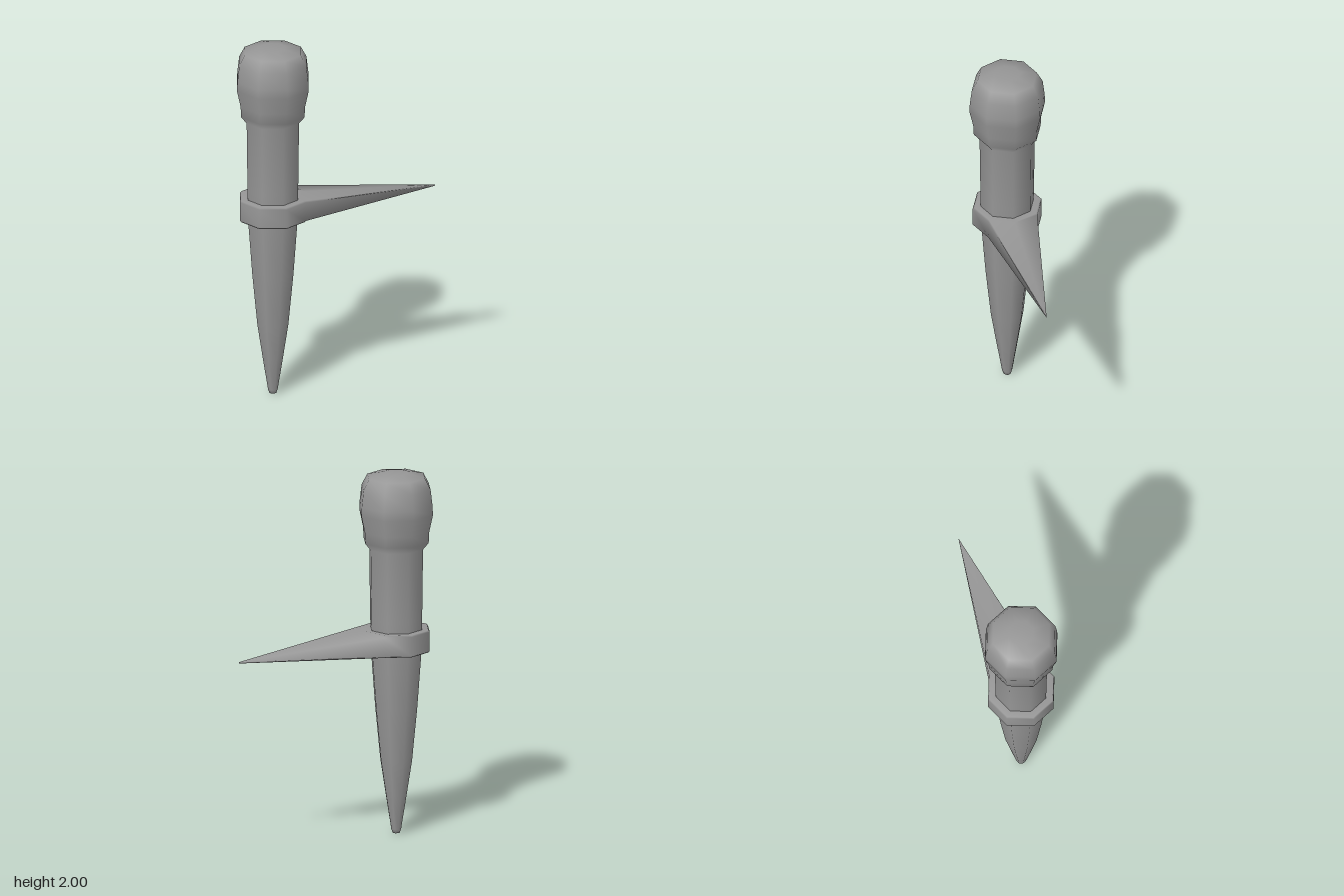
import * as THREE from 'three';
import { mergeVertices } from 'three/addons/utils/BufferGeometryUtils.js';

const SIDES = 8;
const AXIS_X = -0.367;

export function createModel() {
  const group = new THREE.Group();
  const material = new THREE.MeshStandardMaterial({ color: 0x969696 });

  const add = (name, geometry) => {
    const mesh = new THREE.Mesh(geometry, material);
    mesh.name = name;
    mesh.position.x = AXIS_X;
    group.add(mesh);
  };
  const lathe = (points) =>
    new THREE.LatheGeometry(points.map(([r, y]) => new THREE.Vector2(r, y)), SIDES);

  // Tapered stake with a blunt tip, swelling into a rounded knob at the top
  add('shaftAndKnob', lathe([
    [0, 0], [0.02, 0.003], [0.028, 0.025], [0.06, 0.22], [0.09, 0.41],
    [0.119, 0.7], [0.142, 1.0], [0.147, 1.2], [0.152, 1.585],
    [0.184, 1.625], [0.187, 1.685], [0.208, 1.78], [0.206, 1.83],
    [0.195, 1.92], [0.163, 1.98], [0.07, 2.0], [0, 2.0],
  ]));

  // Collar around the shaft; its +x corner is drawn out into a long side spike
  const rim = 0.19;
  const collar = lathe([
    [0.13, 1.017], [0.183, 1.017], [rim, 1.025], [rim, 1.131], [0.183, 1.139], [0.13, 1.139],
  ]);
  const p = collar.attributes.position;
  for (let i = 0; i < p.count; i++) {
    if (p.getX(i) > rim - 0.001) {
      p.setXYZ(i, 0.575 - AXIS_X, p.getY(i) > 1.08 ? 1.06 : 1.052, 0);
    }
  }
  collar.deleteAttribute('normal');
  collar.deleteAttribute('uv');
  const smoothCollar = mergeVertices(collar);
  smoothCollar.computeVertexNormals();
  add('collarWithSpike', smoothCollar);

  return group;
}
